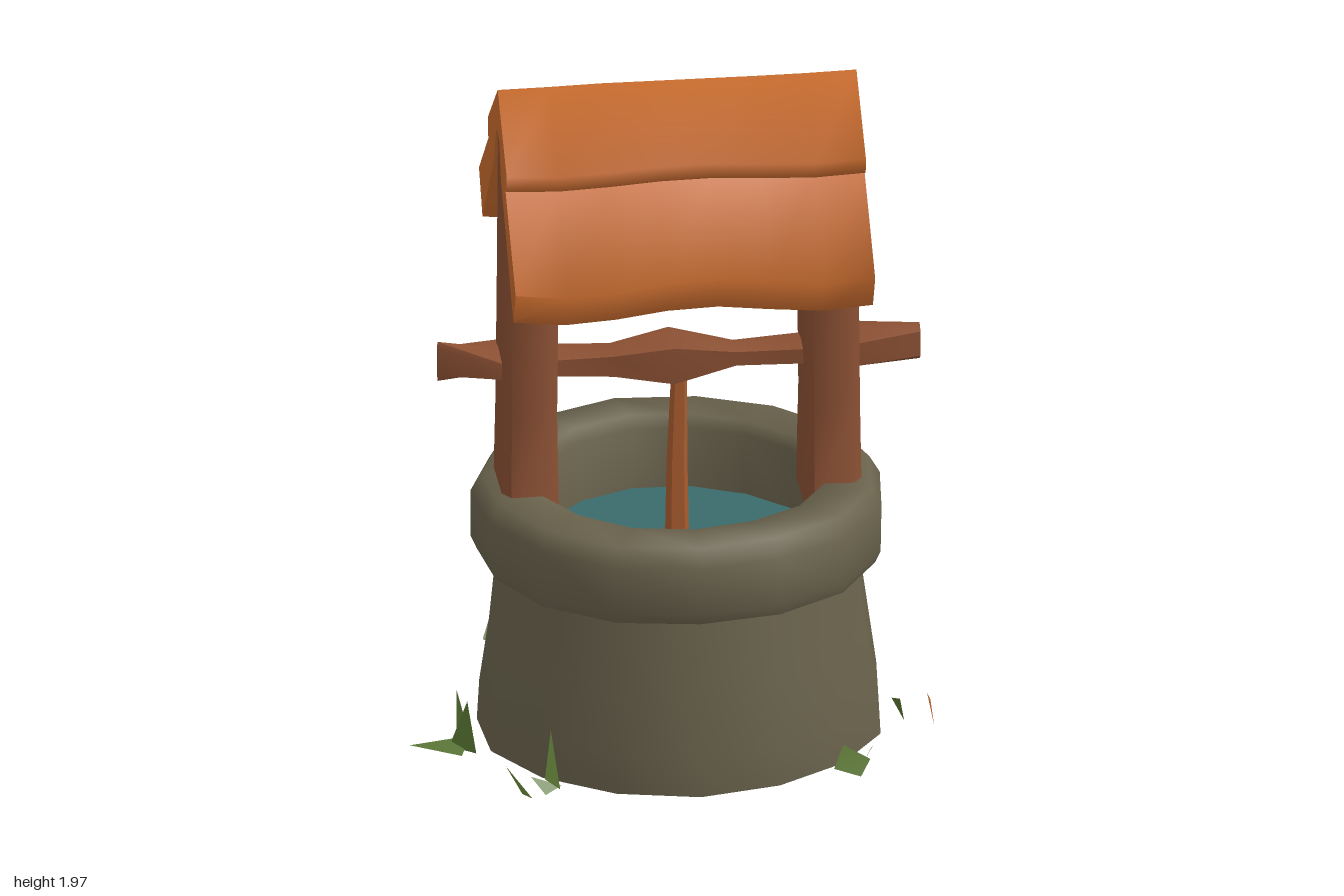
import * as THREE from 'three';
import { toCreasedNormals } from 'three/addons/utils/BufferGeometryUtils.js';

const paint = (name, color, extra = {}) => {
  const m = new THREE.MeshStandardMaterial({ color, ...extra });
  m.name = name;
  return m;
};

// Move every vertex of a geometry by a rule.
function bend(geometry, rule) {
  const pos = geometry.attributes.position;
  const v = new THREE.Vector3();
  for (let i = 0; i < pos.count; i++) {
    rule(v.fromBufferAttribute(pos, i));
    pos.setXYZ(i, v.x, v.y, v.z);
  }
  return geometry;
}

// Upright beam; rows are [height, centreX, centreZ, halfX, halfZ], lowest first.
function beam(rows, sides, squareness = 1) {
  const last = rows.length - 1;
  const g = new THREE.CylinderGeometry(1, 1, 1, sides, last, false, Math.PI / sides);
  const fit = (n) => Math.sign(n) * Math.min(1, Math.abs(n) / Math.cos(Math.PI / sides)) ** squareness;
  return bend(g, (v) => {
    const [h, cx, cz, rx, rz] = rows[Math.round((v.y + 0.5) * last)];
    v.set(cx + fit(v.x) * rx, h, cz + fit(v.z) * rz);
  });
}

export function createModel() {
  const stone = paint('stone', 0x69624c);
  const wood = paint('wood', 0x8b5033);
  const shingle = paint('roof orange', 0xc96c2e);
  const ropeTan = paint('rope', 0xaa5c2e);
  const water = paint('water', 0x3a6b6c, { side: THREE.DoubleSide });
  const grass = paint('grass', 0x5c7834, { side: THREE.DoubleSide });
  const dryLeaf = paint('dry leaf', 0xb5622e, { side: THREE.DoubleSide });

  const model = new THREE.Group();
  model.name = 'well';
  const add = (name, geometry, material, crease = 0.9) => {
    const mesh = new THREE.Mesh(toCreasedNormals(geometry, crease), material);
    mesh.name = name;
    model.add(mesh);
    return mesh;
  };

  // Stone rings, worn slightly out of round
  const ring = (name, profile, wobble, crease) => {
    const g = new THREE.LatheGeometry(profile.map(([r, y]) => new THREE.Vector2(r, y)), 15);
    bend(g, (v) => {
      const a = Math.atan2(v.z, v.x);
      const k = 1 + wobble * (Math.sin(3 * a + 1) + Math.sin(5 * a + v.y * 6));
      v.x = v.x * k + 0.037;
      v.z = v.z * k - 0.025;
    });
    add(name, g, stone, crease);
  };
  ring('wall', [[0, 0.02], [0.575, 0.02], [0.57, 0.14], [0.54, 0.33], [0.51, 0.57]], 0.009, 0.9);
  ring('rim', [[0.4, 0.54], [0.57, 0.545], [0.585, 0.58], [0.585, 0.72], [0.555, 0.772],
    [0.42, 0.775], [0.4, 0.74], [0.4, 0.5]], 0.008, 1.1);

  // Water surface
  const pool = new THREE.CircleGeometry(0.44, 15).rotateX(-Math.PI / 2);
  add('water', pool.translate(0.037, 0.56, -0.025), water);

  // Posts, tapering in depth towards the ridge
  for (const [name, x] of [['leftPost', 0.468], ['rightPost', -0.393]]) {
    const s = Math.sign(x);
    add(name, beam([
      [0.7, x, -0.03, 0.082, 0.142],
      [1.0, x, -0.025, 0.078, 0.118],
      [1.4, x - s * 0.004, -0.022, 0.08, 0.098],
      [1.85, x, -0.02, 0.075, 0.072],
    ], 8, 0.4), wood, 1.0);
  }

  // Winding bar: flat flared ends and a swollen middle; [x, y, z, halfY, halfZ]
  const bar = [
    [0.725, 1.145, -0.025, 0.055, 0.026],
    [0.545, 1.142, -0.03, 0.05, 0.082],
    [0.38, 1.135, -0.03, 0.032, 0.06],
    [0.2, 1.13, -0.03, 0.03, 0.045],
    [0.02, 1.13, -0.03, 0.08, 0.08],
    [-0.15, 1.125, -0.03, 0.045, 0.05],
    [-0.3, 1.13, -0.035, 0.036, 0.06],
    [-0.47, 1.137, -0.04, 0.036, 0.088],
    [-0.645, 1.145, -0.03, 0.06, 0.008],
  ].map(([x, ...rest]) => [-x, ...rest]);
  add('windingBar', beam(bar, 6, 0.7).rotateZ(Math.PI / 2), wood, 0.8);

  // Rope hanging into the water
  add('rope', beam([
    [0.53, 0.036, -0.03, 0.035, 0.03],
    [0.8, 0.036, -0.03, 0.03, 0.027],
    [1.09, 0.042, -0.03, 0.022, 0.022],
  ], 6), ropeTan);

  // Roof: two overlapping layers per slope, swept along the ridge and warped
  const outline = [
    [0.02, 1.985], [-0.205, 1.81], [-0.2, 1.765], [-0.175, 1.755], [-0.425, 1.54], [-0.37, 1.435],
    [-0.06, 1.745], [-0.02, 1.845], [0.02, 1.86], [0.06, 1.845], [0.11, 1.735], [0.39, 1.44],
    [0.475, 1.555], [0.23, 1.755], [0.25, 1.745], [0.26, 1.8],
  ].map(([u, y]) => new THREE.Vector2(u, y));
  const roof = new THREE.ExtrudeGeometry(new THREE.Shape(outline), { depth: 1.02, steps: 7, bevelEnabled: false });
  roof.rotateY(Math.PI / 2).translate(-0.475, 0, 0);
  bend(roof, (v) => {
    const out = Math.abs(v.z);
    v.y += 0.025 * v.x * v.x * Math.sign(v.x + 0.2) + 0.035 * out * Math.sin(9 * v.x + 1.2) - 0.005;
    v.z *= 1 + 0.035 * Math.sin(8 * v.x + (v.z > 0 ? 3.5 : 0.6));
  });
  add('roof', roof, shingle, 1.45);

  // Grass blades and one dry leaf around the foot: three corners each
  const blades = [
    [[-0.56, 0.03, 0.19], [-0.63, 0.03, 0.13], [-0.58, 0.17, 0.14]],
    [[-0.57, 0.06, 0.13], [-0.6, 0.02, 0.18], [-0.74, 0.03, 0.11]],
    [[-0.61, 0.05, 0.13], [-0.58, 0.09, 0.14], [-0.595, 0.15, 0.01]],
    [[-0.36, 0.05, 0.52], [-0.4, 0.07, 0.49], [-0.375, 0.19, 0.42]],
    [[-0.35, 0.04, 0.47], [-0.4, 0.03, 0.51], [-0.44, 0.08, 0.49]],
    [[-0.44, 0.03, 0.53], [-0.47, 0.05, 0.54], [-0.52, 0.15, 0.57]],
    [[-0.41, 0.02, -0.59], [-0.45, 0.04, -0.6], [-0.41, 0.13, -0.66]],
    [[-0.39, 0.06, -0.56], [-0.42, 0.03, -0.53], [-0.41, 0.12, -0.54]],
    [[-0.33, 0.04, -0.58], [-0.27, 0.06, -0.6], [-0.29, 0.13, -0.63]],
    [[0.5, 0.04, -0.53], [0.53, 0.05, -0.515], [0.6, 0.14, -0.48]],
    [[0.42, 0.07, 0.51], [0.45, 0.13, 0.48], [0.53, 0.07, 0.45]],
    [[0.42, 0.07, 0.51], [0.53, 0.07, 0.45], [0.5, 0.03, 0.48]],
    [[0.505, 0.12, 0.56], [0.52, 0.14, 0.54], [0.515, 0.2, 0.65]],
    [[0.64, 0.07, 0.02], [0.67, 0.02, 0.07], [0.655, 0.1, 0.1]],
  ];
  const leaf = [[0.725, 0.14, 0.16], [0.745, 0.08, 0.07], [0.75, 0.02, 0.12]];
  const triangles = (list) => new THREE.BufferGeometry().setFromPoints(list.flat().map((p) => new THREE.Vector3(...p)));
  add('grassBlades', triangles(blades), grass, 0.1);
  add('dryLeaf', triangles([leaf]), dryLeaf, 0.1);

  return model;
}
